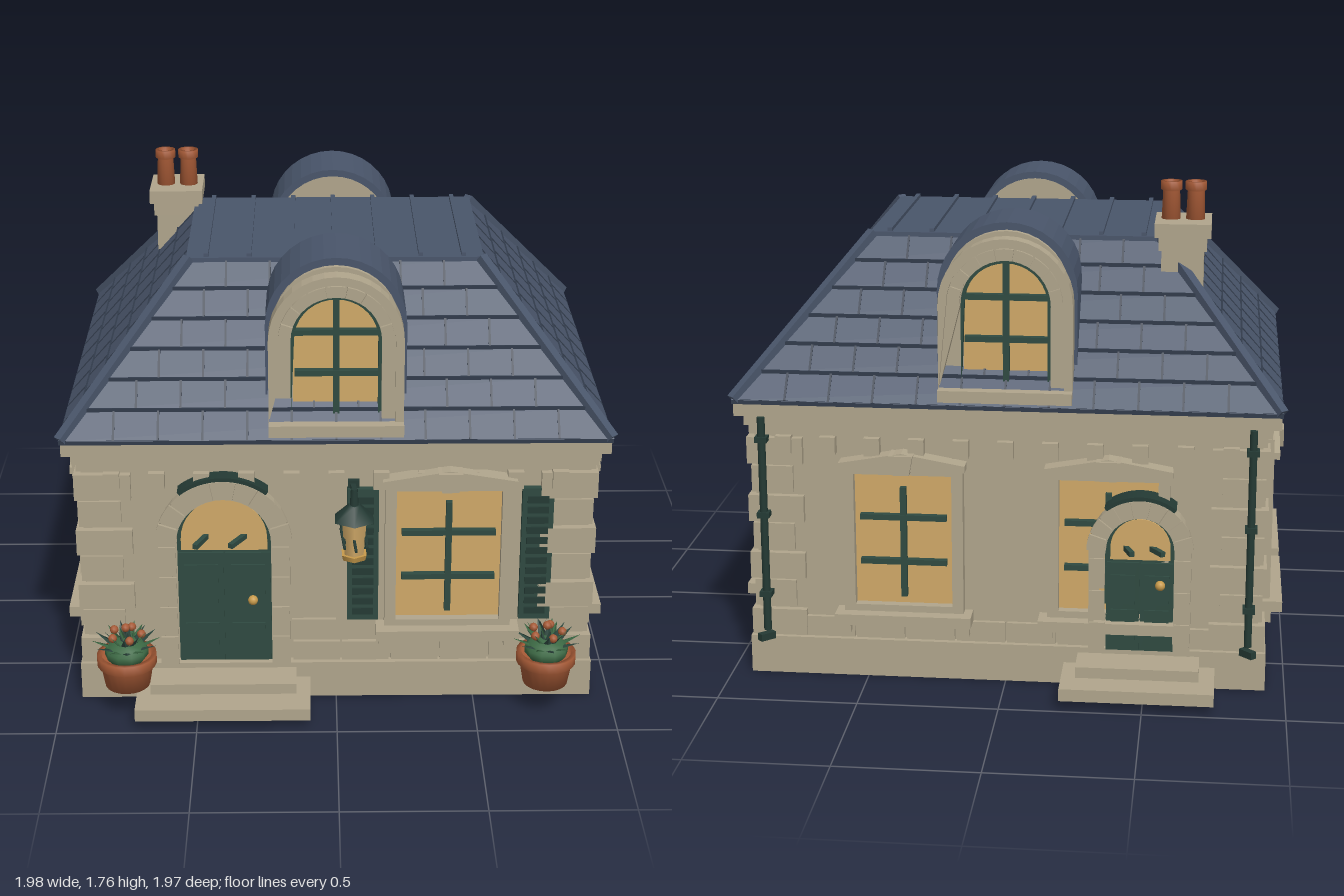
import * as THREE from 'three';

const mat = (name, color, side = THREE.FrontSide) => {
  const m = new THREE.MeshStandardMaterial({ color });
  m.name = name;
  m.side = side;
  return m;
};

export function createModel() {
  const stone = mat('stone', 0xb0a58c), slate = mat('slate', 0x49556a);
  const seam = mat('dark slate', 0x313b4b), green = mat('green paint', 0x2f4a41);
  const dark = mat('dark green', 0x243a34), glass = mat('warm glass', 0xd0a968);
  const clay = mat('terracotta', 0xa65a36), leaf = mat('leaf', 0x3d6a45, THREE.DoubleSide);
  const brass = mat('brass', 0xc79a4b);
  const house = new THREE.Group();
  house.name = 'house';

  const add = (p, name, geo, m, x = 0, y = 0, z = 0) => {
    const mesh = new THREE.Mesh(geo, m);
    mesh.name = name;
    mesh.position.set(x, y, z);
    p.add(mesh);
    return mesh;
  };
  const group = (p, name, x = 0, y = 0, z = 0, ry = 0) => {
    const g = new THREE.Group();
    g.name = name;
    g.position.set(x, y, z);
    g.rotation.y = ry;
    p.add(g);
    return g;
  };
  // box given by its x, y and z ranges
  const box = (p, name, m, x0, x1, y0, y1, z0, z1) =>
    add(p, name, new THREE.BoxGeometry(x1 - x0, y1 - y0, z1 - z0), m, (x0 + x1) / 2, (y0 + y1) / 2, (z0 + z1) / 2);
  // square bar between two points
  const bar = (p, name, m, a, b, t) => {
    const A = new THREE.Vector3(...a), B = new THREE.Vector3(...b);
    const mesh = add(p, name, new THREE.BoxGeometry(t, t, A.distanceTo(B)), m);
    mesh.position.copy(A).add(B).multiplyScalar(0.5);
    mesh.lookAt(B);
    return mesh;
  };
  const plate = (p, name, m, shape, z0, z1, x = 0) =>
    add(p, name, new THREE.ExtrudeGeometry(shape, { depth: z1 - z0, bevelEnabled: false, curveSegments: 9 }), m, x, 0, z0);
  const poly = pts => new THREE.Shape(pts.map(q => new THREE.Vector2(...q)));
  const arch = (r, base, spring) => {
    const s = new THREE.Shape();
    s.moveTo(-r, base).lineTo(r, base).lineTo(r, spring).absarc(0, spring, r, 0, Math.PI, false);
    return s;
  };
  const archRing = (i, o, base, spring) => {
    const s = new THREE.Shape();
    s.moveTo(-o, base).lineTo(-o, spring).absarc(0, spring, o, Math.PI, 0, true);
    s.lineTo(o, base).lineTo(i, base).lineTo(i, spring).absarc(0, spring, i, 0, Math.PI, false);
    return s;
  };
  const sector = (i, o, a, b, cy) => {
    const s = new THREE.Shape();
    s.absarc(0, cy, o, a, b, false);
    s.absarc(0, cy, i, b, a, true);
    return s;
  };
  const voussoirs = (p, n, i, o, cy, z0, z1) => {
    for (let k = 0; k < n; k++)
      plate(p, 'archStone', stone, sector(i, o, (k + 0.06) * Math.PI / n, (k + 0.94) * Math.PI / n, cy), z0, z1);
  };

  // plinth, walls and cornice
  box(house, 'plinth', stone, -0.93, 0.93, 0, 0.14, -0.75, 0.75);
  box(house, 'walls', stone, -0.9, 0.9, 0.14, 0.98, -0.715, 0.715);
  box(house, 'frieze', stone, -0.915, 0.915, 0.9, 0.935, -0.73, 0.73);
  box(house, 'lowerCornice', stone, -0.93, 0.93, 0.935, 0.975, -0.745, 0.745);
  box(house, 'cornice', stone, -0.96, 0.96, 0.975, 1.02, -0.77, 0.77);

  // alternating corner stones
  for (const sx of [-1, 1]) for (const sz of [-1, 1]) for (let k = 0; k < 7; k++) {
    const [w, d, e] = k % 2 ? [0.15, 0.105, 0.013] : [0.2, 0.145, 0.025], x = 0.9 + e, z = 0.715 + e, y = 0.14 + k * 0.108;
    add(house, 'cornerStone', new THREE.BoxGeometry(w, 0.098, d), stone, sx * (x - w / 2), y + 0.052, sz * (z - d / 2));
  }

  // window in a wall plane facing +z
  const windowUnit = (p, x, y0, y1, h) => {
    const g = group(p, 'window', x), o = h + 0.04;
    const frame = poly([[-o, y0 - 0.03], [o, y0 - 0.03], [o, y1 + 0.03], [-o, y1 + 0.03]]);
    frame.holes.push(poly([[-h, y0], [-h, y1], [h, y1], [h, y0]]));
    plate(g, 'windowFrame', stone, frame, 0, 0.045);
    box(g, 'pane', glass, -h, h, y0, y1, 0.004, 0.012);
    box(g, 'mullion', green, -0.011, 0.011, y0 + 0.03, y1 - 0.05, 0.012, 0.034);
    for (const t of [0.33, 0.67])
      box(g, 'glazingBar', green, -h + 0.02, h - 0.02, y0 + (y1 - y0) * t - 0.01, y0 + (y1 - y0) * t + 0.01, 0.012, 0.036);
    box(g, 'sill', stone, -o - 0.03, o + 0.03, y0 - 0.065, y0 - 0.025, 0, 0.09);
    for (const s of [-1, 1]) box(g, 'sillBracket', stone, s * o - 0.02, s * o + 0.02, y0 - 0.11, y0 - 0.065, 0, 0.05);
    const w = o + 0.01;
    plate(g, 'pediment', stone, poly([[-w, y1 + 0.02], [w, y1 + 0.02], [w, y1 + 0.045], [0, y1 + 0.085], [-w, y1 + 0.045]]), 0, 0.065);
    plate(g, 'keystone', stone, poly([[-0.03, y1 + 0.01], [0.03, y1 + 0.01], [0.043, y1 + 0.08], [-0.043, y1 + 0.08]]), 0, 0.082);
  };

  // arched double door with a fanlight
  const doorUnit = (p, x, i, o, spring, depth) => {
    const g = group(p, 'door', x), fan = spring - 0.045, f = depth - 0.04;
    plate(g, 'doorSurround', stone, archRing(i, o, 0.14, spring), 0, depth);
    voussoirs(g, 9, i + 0.006, o + 0.008, spring, depth, depth + 0.012);
    plate(g, 'archHood', dark, sector(o + 0.008, o + 0.022, 0.9, Math.PI - 0.9, spring), 0, depth + 0.01);
    plate(g, 'doorPanel', green, arch(i, 0.14, spring), 0, f);
    plate(g, 'fanlight', glass, arch(i - 0.014, fan, spring), f, f + 0.006);
    for (const s of [-1, 1]) {
      bar(g, 'fanBar', green, [0, fan + 0.015, f + 0.012], [s * i * 0.8, fan + 0.015 + i * 0.46, f + 0.012], 0.018);
      const c = s * i * 0.5, w = i * 0.36;
      box(g, 'doorLeaf', green, c - i * 0.48, c + i * 0.48, 0.145, fan - 0.01, f, f + 0.01);
      box(g, 'upperPanel', green, c - w, c + w, 0.32, fan - 0.055, f + 0.01, f + 0.017);
      box(g, 'lowerPanel', green, c - w, c + w, 0.17, 0.3, f + 0.01, f + 0.017);
      for (const y of [0.15, 0.27, 0.39, 0.51]) if (y + 0.1 < spring + 0.02)
        box(g, 'jambStone', stone, s * (i + o) / 2 - (o - i) * 0.46, s * (i + o) / 2 + (o - i) * 0.46, y, y + 0.11, depth, depth + 0.008);
    }
    add(g, 'knob', new THREE.SphereGeometry(0.018, 14, 10), brass, i * 0.6, 0.4, f + 0.03);
  };

  // one facade: corbels and base stones over a width
  const facade = (name, half, dist, ry, from) => {
    const g = group(house, name, Math.sin(ry) * dist, 0, Math.cos(ry) * dist, ry);
    const n = Math.round((half - 0.11) * 2 / 0.157);
    for (let k = 0; k <= n; k++) {
      const x = (half - 0.11) * (2 * k / n - 1);
      box(g, 'corbel', stone, x - 0.028, x + 0.028, 0.835, 0.9, 0, 0.04);
    }
    const m = Math.round((half - 0.17 - from) / 0.19), w = (half - 0.17 - from) / m;
    for (let k = 0; k < m; k++)
      box(g, 'baseStone', stone, from + k * w + 0.004, from + (k + 1) * w - 0.004, 0.14, 0.215, 0, 0.016);
    return g;
  };

  const front = facade('frontFacade', 0.9, 0.715, 0, -0.16);
  windowUnit(front, 0.4, 0.32, 0.83, 0.187);
  doorUnit(front, -0.4, 0.168, 0.235, 0.635, 0.05);
  box(front, 'wallStone', stone, -0.16, 0, 0.225, 0.305, 0, 0.014);
  for (const x of [0.095, 0.715]) {
    const g = group(front, 'shutter', x);
    box(g, 'shutterBoard', green, -0.056, 0.056, 0.31, 0.83, 0, 0.025);
    for (let k = 0; k < 12; k++) box(g, 'slat', dark, -0.038, 0.038, 0.335 + k * 0.04, 0.36 + k * 0.04, 0.025, 0.032);
  }

  const back = facade('backFacade', 0.9, 0.715, Math.PI, -0.73);
  for (const s of [-1, 1]) {
    windowUnit(back, s * 0.365, 0.28, 0.77, 0.175);
    // drainpipes with shoes
    const pipe = group(back, 'drainpipe', s * 0.865);
    add(pipe, 'pipe', new THREE.CylinderGeometry(0.014, 0.014, 0.8, 10), dark, 0, 0.57, 0.045);
    bar(pipe, 'pipeShoe', dark, [0, 0.175, 0.045], [0, 0.13, 0.085], 0.026);
    for (const y of [0.3, 0.6, 0.88]) box(pipe, 'pipeClip', dark, -0.022, 0.022, y, y + 0.02, 0.02, 0.065);
    const side = facade(s > 0 ? 'leftFacade' : 'rightFacade', 0.715, 0.9, s * Math.PI / 2, -0.545);
    for (const z of [-0.285, 0.285]) windowUnit(side, z, 0.28, 0.77, 0.175);
  }
  doorUnit(back, 0.48, 0.12, 0.18, 0.53, 0.085);

  // steps
  box(house, 'frontLowerStep', stone, -0.72, -0.095, 0.035, 0.08, 0.7, 0.98);
  box(house, 'frontUpperStep', stone, -0.67, -0.145, 0.08, 0.12, 0.7, 0.87);
  box(house, 'backLowerStep', stone, -0.75, -0.21, 0.035, 0.08, -0.99, -0.7);
  box(house, 'backUpperStep', stone, -0.695, -0.26, 0.08, 0.12, -0.885, -0.7);

  // hipped roof in overlapping courses
  const roof = group(house, 'roof');
  const at = t => [0.96 - 0.44 * t, 1.035 + 0.525 * t, 0.77 - 0.415 * t];
  box(roof, 'eaves', seam, -0.965, 0.965, 1.02, 1.037, -0.775, 0.775);
  const N = 6;
  for (let k = 0; k < N; k++) {
    const [x0, y0, z0] = at(k / N), [x1, y1, z1] = at((k + 1) / N), e = 0.006;
    const geo = new THREE.BoxGeometry(2, 1, 2), p = geo.attributes.position;
    for (let v = 0; v < p.count; v++) {
      const up = p.getY(v) > 0;
      p.setXYZ(v, p.getX(v) * (up ? x1 : x0 + e), up ? y1 : y0, p.getZ(v) * (up ? z1 : z0 + e));
    }
    geo.computeVertexNormals();
    add(roof, 'slateCourse', geo, slate);
    for (const s of [-1, 1]) {
      if (k) {
        bar(roof, 'courseLine', seam, [-x0, y0, s * z0], [x0, y0, s * z0], 0.013);
        bar(roof, 'courseLine', seam, [s * x0, y0, -z0], [s * x0, y0, z0], 0.013);
      }
      for (let j = -6; j <= 6; j++) {
        const q = (j + (k % 2) * 0.5) * 0.155;
        if (Math.abs(q) < x1) bar(roof, 'slateJoint', seam, [q, y0, s * (z0 + 0.003)], [q, y1, s * z1], 0.008);
        if (Math.abs(q) < z1) bar(roof, 'slateJoint', seam, [s * (x0 + 0.003), y0, q], [s * x1, y1, q], 0.008);
      }
    }
  }
  const [ex, ey, ez] = at(0), [tx, ty, tz] = at(1);
  for (const sx of [-1, 1]) for (const sz of [-1, 1])
    bar(roof, 'hipRidge', slate, [sx * ex, ey, sz * ez], [sx * tx, ty, sz * tz], 0.034);
  box(roof, 'roofDeck', slate, -tx - 0.01, tx + 0.01, ty - 0.02, ty + 0.005, -tz - 0.01, tz + 0.01);
  for (let k = -3; k <= 3; k++) box(roof, 'standingSeam', slate, k * 0.153 - 0.008, k * 0.153 + 0.008, ty, ty + 0.018, -tz, tz);

  // arched dormers, front and back
  for (const ry of [0, Math.PI]) {
    const g = group(house, 'dormer', 0, 0, 0, ry), cy = 1.385;
    plate(g, 'dormerBody', stone, arch(0.222, 1.04, 1.415), 0.41, 0.68);
    plate(g, 'dormerRoof', slate, archRing(0.22, 0.246, 1.08, 1.42), 0.395, 0.67);
    plate(g, 'dormerSurround', stone, archRing(0.157, 0.235, 1.08, cy), 0.665, 0.725);
    plate(g, 'outerMoulding', stone, archRing(0.205, 0.235, 1.08, cy), 0.725, 0.74);
    voussoirs(g, 9, 0.16, 0.2, cy, 0.725, 0.737);
    plate(g, 'dormerPane', glass, arch(0.15, 1.09, cy), 0.68, 0.688);
    plate(g, 'dormerFrame', green, archRing(0.145, 0.158, 1.09, cy), 0.68, 0.71);
    box(g, 'mullion', green, -0.011, 0.011, 1.1, 1.53, 0.688, 0.712);
    for (const y of [1.26, 1.41]) box(g, 'glazingBar', green, -0.145, 0.145, y - 0.01, y + 0.01, 0.688, 0.714);
    box(g, 'dormerSill', stone, -0.235, 0.235, 1.045, 1.087, 0.66, 0.775);
  }

  // chimney
  const chimney = group(house, 'chimney', -0.6, 0, -0.35);
  box(chimney, 'shaft', stone, -0.075, 0.075, 1.2, 1.58, -0.09, 0.09);
  box(chimney, 'shaftBand', stone, -0.085, 0.085, 1.53, 1.58, -0.1, 0.1);
  box(chimney, 'cap', stone, -0.1, 0.1, 1.58, 1.63, -0.115, 0.115);
  const potProfile = [[0, 0], [0.034, 0], [0.03, 0.1], [0.038, 0.105], [0.038, 0.135], [0.026, 0.135], [0.024, 0.09], [0, 0.09]];
  for (const x of [-0.042, 0.045])
    add(chimney, 'chimneyPot', new THREE.LatheGeometry(potProfile.map(q => new THREE.Vector2(...q)), 16), clay, x, 1.63, 0.005);

  // wall lantern
  const lantern = group(house, 'lantern', 0.062, 0, 0.8);
  bar(lantern, 'bracket', dark, [0, 0.84, -0.08], [0, 0.84, 0.01], 0.018);
  box(lantern, 'wallPlate', dark, -0.02, 0.02, 0.76, 0.86, -0.085, -0.07);
  add(lantern, 'finial', new THREE.CylinderGeometry(0.012, 0.016, 0.07, 8), dark, 0, 0.825, 0);
  add(lantern, 'lanternRoof', new THREE.CylinderGeometry(0.022, 0.078, 0.055, 6), dark, 0, 0.772, 0);
  add(lantern, 'lanternGlass', new THREE.CylinderGeometry(0.05, 0.038, 0.135, 6), glass, 0, 0.678, 0);
  add(lantern, 'lanternBase', new THREE.CylinderGeometry(0.05, 0.045, 0.02, 6), brass, 0, 0.602, 0);
  for (let k = 0; k < 6; k++) {
    const s = Math.sin(k * Math.PI / 3), c = Math.cos(k * Math.PI / 3);
    bar(lantern, 'lanternPost', dark, [s * 0.04, 0.61, c * 0.04], [s * 0.052, 0.745, c * 0.052], 0.009);
  }

  // potted plants
  const tub = [[0, 0], [0.08, 0], [0.094, 0.08], [0.107, 0.085], [0.107, 0.122], [0.09, 0.122], [0.088, 0.1], [0, 0.1]];
  for (const s of [-1, 1]) {
    const g = group(house, 'pottedPlant', s * 0.752, 0.115, 0.845);
    add(g, 'tub', new THREE.LatheGeometry(tub.map(q => new THREE.Vector2(...q)), 20), clay);
    add(g, 'foliage', new THREE.SphereGeometry(0.08, 10, 7), leaf, 0, 0.13, 0).scale.y = 0.6;
    for (const [n, tilt, len] of [[12, 1.15, 0.135], [9, 0.7, 0.12], [5, 0.3, 0.1]]) for (let k = 0; k < n; k++) {
      const geo = new THREE.ConeGeometry(0.03, len, 4).scale(1, 1, 0.25).translate(0, len / 2, 0).rotateX(tilt);
      add(g, 'leaf', geo, k % 2 ? leaf : green, 0, 0.125, 0).rotation.y = k * 2 * Math.PI / n + tilt;
    }
    for (let k = 0; k < 6; k++) {
      const r = k ? 0.055 : 0, a = k * 1.257;
      add(g, 'flower', new THREE.SphereGeometry(0.016, 8, 6), clay, r * Math.cos(a), k ? 0.2 : 0.225, r * Math.sin(a));
    }
  }
  return house;
}
